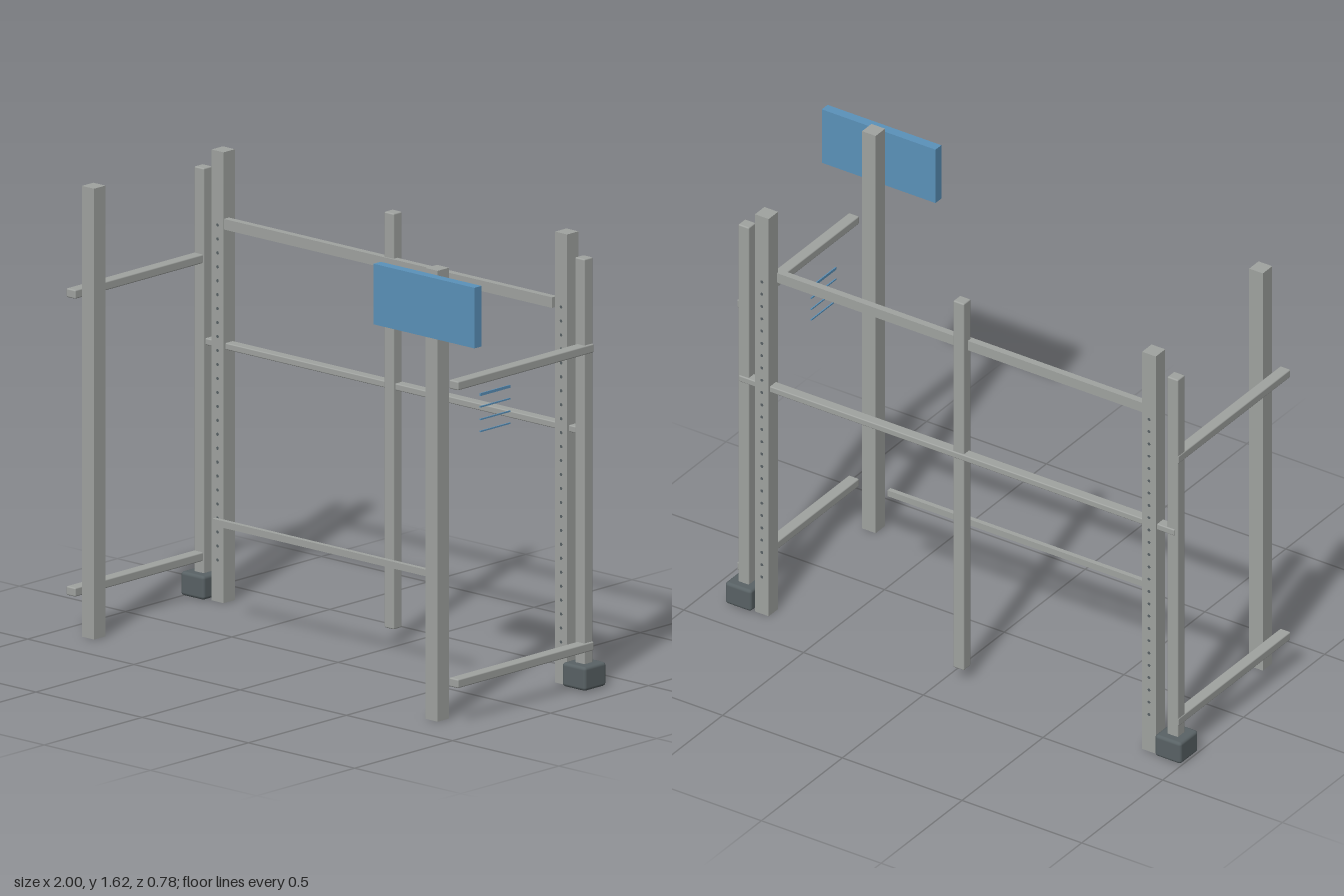
import * as THREE from 'three';
import { RoundedBoxGeometry } from 'three/addons/geometries/RoundedBoxGeometry.js';

export function createModel() {
  const rack = new THREE.Group();
  rack.name = 'rack';

  const mat = (name, color) => {
    const m = new THREE.MeshStandardMaterial({ color });
    m.name = name;
    return m;
  };
  const steel = mat('steel grey', 0xa0a3a0);
  const rubber = mat('dark grey', 0x596265);
  const blue = mat('panel blue', 0x5b92ba);

  // Boxes are given by their min and max on each axis; radius rounds the edges
  const bar = (name, material, [x0, x1], [y0, y1], [z0, z1], radius = 0) => {
    const size = [x1 - x0, y1 - y0, z1 - z0];
    const geometry = radius
      ? new RoundedBoxGeometry(...size, 2, radius)
      : new THREE.BoxGeometry(...size);
    const mesh = new THREE.Mesh(geometry, material);
    mesh.name = name;
    mesh.position.set((x0 + x1) / 2, (y0 + y1) / 2, (z0 + z1) / 2);
    rack.add(mesh);
    return mesh;
  };
  const around = (c, w) => [c - w / 2, c + w / 2];

  // Square main posts, with a column of adjustment holes in the back pair
  const holeGeometry = new THREE.CylinderGeometry(0.006, 0.006, 0.059, 8).rotateX(Math.PI / 2);
  for (const x of [-0.855, 0.762]) {
    bar('frontPost', steel, around(x, 0.057), [0, 1.615], around(0.32, 0.058));
    bar('backPost', steel, around(x, 0.057), [0, 1.615], around(-0.341, 0.058));
    const holes = new THREE.Group();
    holes.name = 'postHoles';
    for (let i = 0; i < 25; i++) {
      const hole = new THREE.Mesh(holeGeometry, rubber);
      hole.name = 'postHole';
      hole.position.set(x, 0.15 + i * 0.05, -0.341);
      holes.add(hole);
    }
    rack.add(holes);
  }

  // Slim rounded uprights along the back
  for (const x of [-0.944, -0.05, 0.848]) {
    bar('upright', steel, around(x, 0.045), [0.05, 1.54], around(-0.335, 0.044), 0.005);
  }

  // Feet under the outer uprights
  for (const x of [-0.945, 0.85]) {
    bar('foot', rubber, around(x, 0.11), [0.004, 0.09], around(-0.334, 0.112), 0.012);
  }

  // Side rails running front to back
  for (const x of [-0.947, 0.855]) {
    for (const y of [0.148, 1.215]) {
      bar('sideRail', steel, around(x, 0.043), around(y, 0.032), [-0.356, 0.338], 0.005);
    }
  }

  // Long crosswise rails
  bar('backRail', steel, [-0.955, 0.865], around(0.918, 0.024), [-0.362, -0.322], 0.004);
  bar('upperBar', steel, [-0.82, 0.725], around(1.36, 0.038), [-0.332, -0.306]);
  bar('lowerBar', steel, [-0.58, 0.484], around(0.4, 0.024), around(0.004, 0.018));

  // Sign panel on the front post
  bar('signPanel', blue, [0.525, 1], [1.383, 1.6], [0.352, 0.388]);

  // Fine marking lines beside the post
  [1.132, 1.088, 1.043, 1].forEach((y, i) => {
    bar('markingLine', blue, around(0.798, 0.004), around(y, i ? 0.005 : 0.01), [-0.013, 0.141]);
  });

  return rack;
}
